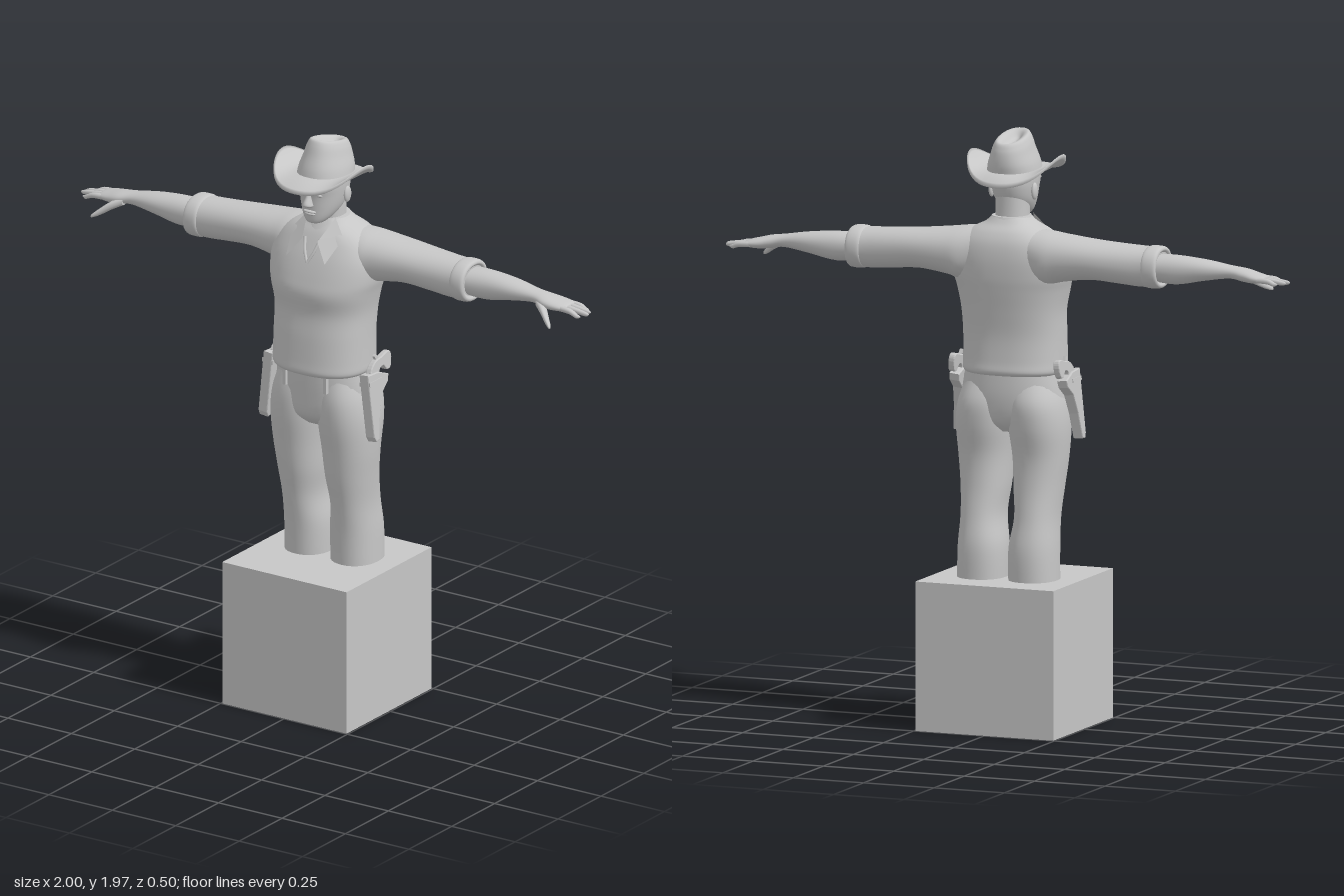
import * as THREE from 'three';

const grey = new THREE.MeshStandardMaterial({ color: 0xc6c6c6 });
grey.name = 'plain grey';
const greyThin = grey.clone();
greyThin.name = 'plain grey thin';
greyThin.side = THREE.DoubleSide;

// Skin a list of closed rings, with flat end caps
function skin(rings, caps = true) {
  const n = rings[0].length, pos = rings.flat(2), idx = [];
  for (let i = 0; i < rings.length - 1; i++)
    for (let j = 0; j < n; j++) {
      const k = (j + 1) % n, a = i * n + j, b = i * n + k, c = b + n, d = a + n;
      idx.push(a, b, c, a, c, d);
    }
  if (caps) [rings[0], rings[rings.length - 1]].forEach((ring, end) => {
    const base = pos.length / 3;
    pos.push(...ring.flat());
    pos.push(...[0, 1, 2].map(q => ring.reduce((s, p) => s + p[q], 0) / n));
    for (let j = 0; j < n; j++) {
      const a = base + j, b = base + (j + 1) % n;
      idx.push(...(end ? [a, b, base + n] : [b, a, base + n]));
    }
  });
  const g = new THREE.BufferGeometry();
  g.setAttribute('position', new THREE.Float32BufferAttribute(pos, 3));
  g.setIndex(idx);
  g.computeVertexNormals();
  return g;
}

// Smooth loft. Rows: [position on axis, uMin, uMax, vMin, vMax]; axis y uses u=z, v=x; axis x uses u=y, v=z
function loft(axis, rows, { sides = 32, steps = 5, power = 2.2, bend = null } = {}) {
  const rings = [], at = i => rows[Math.max(0, Math.min(rows.length - 1, i))];
  const spline = (a, b, c, d, t) => b + 0.5 * t * (c - a + t * (2 * a - 5 * b + 4 * c - d + t * (3 * (b - c) + d - a)));
  const round = v => Math.sign(v) * Math.abs(v) ** (2 / power);
  for (let s = 0; s <= (rows.length - 1) * steps; s++) {
    const i = Math.min(Math.floor(s / steps), rows.length - 2), t = s / steps - i;
    const [w, u0, u1, v0, v1] = rows[0].map((_, q) => spline(at(i - 1)[q], at(i)[q], at(i + 1)[q], at(i + 2)[q], t));
    rings.push(Array.from({ length: sides }, (_, j) => {
      const f = j / sides * Math.PI * 2;
      const u = (u0 + u1) / 2 + round(Math.cos(f)) * (u1 - u0) / 2;
      const v = (v0 + v1) / 2 + round(Math.sin(f)) * (v1 - v0) / 2;
      const p = axis === 'y' ? [v, w, u] : [w, u, v];
      return bend ? bend(p) : p;
    }));
  }
  return skin(rings);
}

// Rows symmetric in x: [y, zMin, zMax, halfWidth]
const body = (rows, options) => loft('y', rows.map(([y, a, b, h]) => [y, a, b, -h, h]), options);

function mirrored(geometry) {
  const g = geometry.clone().scale(-1, 1, 1);
  const old = g.index ? Array.from(g.index.array) : Array.from({ length: g.attributes.position.count }, (_, i) => i);
  for (let i = 0; i < old.length; i += 3) [old[i], old[i + 1]] = [old[i + 1], old[i]];
  g.setIndex(old);
  return g;
}

// Side-on plate: outline in (z, y), thickness along x
function sidePlate(points, width, curved) {
  const shape = new THREE.Shape();
  if (curved) shape.setFromPoints(new THREE.CatmullRomCurve3(points.map(p => new THREE.Vector3(p[0], p[1], 0)), true).getPoints(36).map(p => new THREE.Vector2(p.x, p.y)));
  else shape.setFromPoints(points.map(p => new THREE.Vector2(...p)));
  const g = new THREE.ExtrudeGeometry(shape, { depth: width - 0.008, bevelSize: 0.003, bevelThickness: 0.004, bevelSegments: 2 });
  return g.translate(0, 0, -(width - 0.008) / 2).rotateY(-Math.PI / 2);
}

const ball = (x, y, z, a, b, c) => new THREE.SphereGeometry(1, 20, 14).scale(a, b, c).translate(x, y, z);

export function createModel() {
  const model = new THREE.Group();
  const add = (name, geometry, material = grey) => {
    const mesh = new THREE.Mesh(geometry, material);
    mesh.name = name;
    model.add(mesh);
  };
  const pair = (name, geometry, material) => {
    add(name + 'Left', geometry, material);
    add(name + 'Right', mirrored(geometry), material);
  };

  // Pedestal
  add('pedestal', new THREE.BoxGeometry(0.49, 0.495, 0.495).translate(0, 0.2475, 0));

  // Trousers
  pair('trouserLeg', loft('y', [
    [0.49, -0.14, 0.05, 0.01, 0.172], [0.6, -0.14, 0.056, 0.01, 0.17], [0.7, -0.122, 0.07, 0.024, 0.166],
    [0.8, -0.108, 0.09, 0.014, 0.174], [0.9, -0.106, 0.105, 0.007, 0.185], [1.0, -0.125, 0.12, -0.004, 0.19],
    [1.08, -0.128, 0.122, -0.005, 0.18], [1.15, -0.1, 0.11, 0, 0.155]]));
  add('trouserHips', body([
    [0.98, -0.07, 0.08, 0.1], [1.02, -0.108, 0.115, 0.175], [1.1, -0.122, 0.125, 0.176], [1.2, -0.118, 0.13, 0.16]]));
  pair('beltLoop', new THREE.BoxGeometry(0.012, 0.07, 0.012).translate(0.08, 1.15, 0.125));

  // Shirt
  add('shirtBody', body([
    [1.172, -0.122, 0.147, 0.163], [1.185, -0.132, 0.156, 0.17], [1.22, -0.128, 0.153, 0.17], [1.3, -0.125, 0.146, 0.17], [1.38, -0.133, 0.137, 0.173],
    [1.45, -0.143, 0.145, 0.186], [1.5, -0.149, 0.134, 0.198], [1.56, -0.15, 0.113, 0.198], [1.61, -0.142, 0.09, 0.175],
    [1.645, -0.124, 0.072, 0.135], [1.67, -0.1, 0.055, 0.085], [1.69, -0.085, 0.045, 0.062]], { sides: 48, power: 2.4 }));
  pair('sleeve', loft('x', [
    [0.06, 1.52, 1.655, -0.12, 0.03], [0.14, 1.475, 1.652, -0.145, 0.055], [0.2, 1.488, 1.645, -0.146, 0.048],
    [0.3, 1.502, 1.635, -0.14, 0.035], [0.4, 1.496, 1.628, -0.13, 0.028], [0.48, 1.49, 1.624, -0.123, 0.026],
    [0.53, 1.495, 1.622, -0.122, 0.026]]));
  pair('sleeveCuff', loft('x', [
    [0.497, 1.5, 1.612, -0.112, 0.018], [0.505, 1.488, 1.626, -0.126, 0.031],
    [0.543, 1.488, 1.626, -0.126, 0.031], [0.552, 1.497, 1.616, -0.116, 0.021], [0.546, 1.508, 1.607, -0.108, 0.012]]));
  add('collarBand', body([[1.63, -0.122, 0.08, 0.085], [1.665, -0.1, 0.06, 0.075], [1.692, -0.085, 0.045, 0.063]]));
  const flap = new THREE.BufferGeometry().setFromPoints([
    [0.055, 1.695, 0.03], [0.1, 1.64, 0.052], [0.076, 1.566, 0.126], [0.03, 1.628, 0.1]].map(p => new THREE.Vector3(...p)));
  flap.setIndex([0, 3, 1, 1, 3, 2]);
  flap.computeVertexNormals();
  pair('collarFlap', flap, greyThin);
  pair('neckOpeningEdge', new THREE.TubeGeometry(new THREE.CatmullRomCurve3([
    new THREE.Vector3(0.03, 1.63, 0.082), new THREE.Vector3(0.018, 1.59, 0.102), new THREE.Vector3(0, 1.553, 0.117)]), 10, 0.005, 8));

  // Forearms and hands
  pair('forearm', loft('x', [
    [0.5, 1.515, 1.6, -0.108, 0.008], [0.6, 1.506, 1.602, -0.108, 0], [0.7, 1.524, 1.594, -0.1, -0.006],
    [0.79, 1.537, 1.58, -0.084, -0.016], [0.84, 1.53, 1.573, -0.09, -0.006], [0.88, 1.528, 1.564, -0.099, -0.01],
    [0.915, 1.532, 1.555, -0.097, -0.02], [0.922, 1.54, 1.548, -0.085, -0.03]]));
  [[-0.089, 0.972, 1.534], [-0.068, 0.994, 1.536], [-0.047, 1.0, 1.536], [-0.027, 0.98, 1.53]].forEach(([z, tip, y], i) =>
    pair('finger' + (i + 1), loft('x', [
      [0.9, 1.534, 1.553, z - 0.01, z + 0.01], [0.94, 1.532, 1.55, z - 0.01, z + 0.01],
      [tip - 0.012, y - 0.008, y + 0.007, z - 0.007, z + 0.007], [tip, y - 0.002, y + 0.002, z - 0.002, z + 0.002]], { sides: 12, steps: 3 })));
  pair('thumb', loft('x', [
    [0.815, 1.535, 1.56, -0.035, -0.01], [0.85, 1.518, 1.548, -0.022, 0.014], [0.88, 1.5, 1.524, 0.006, 0.032],
    [0.9, 1.492, 1.506, 0.026, 0.042], [0.905, 1.494, 1.499, 0.034, 0.04]], { sides: 14, steps: 3 }));

  // Neck and head
  add('neck', body([[1.6, -0.08, 0.06, 0.06], [1.68, -0.072, 0.046, 0.055], [1.76, -0.07, 0.055, 0.055]]));
  add('head', body([
    [1.683, 0.04, 0.085, 0.02], [1.69, 0.02, 0.096, 0.033], [1.71, -0.02, 0.1, 0.05], [1.74, -0.06, 0.102, 0.064],
    [1.78, -0.078, 0.105, 0.073], [1.82, -0.083, 0.113, 0.077], [1.87, -0.08, 0.1, 0.075], [1.9, -0.05, 0.07, 0.05]]));
  add('nose', body([
    [1.743, 0.09, 0.108, 0.008], [1.751, 0.09, 0.126, 0.016], [1.76, 0.09, 0.132, 0.014],
    [1.785, 0.09, 0.118, 0.008], [1.81, 0.09, 0.113, 0.008]], { sides: 16, steps: 3 }));
  add('upperLip', ball(0, 1.729, 0.1, 0.024, 0.005, 0.01));
  add('lowerLip', ball(0, 1.72, 0.097, 0.02, 0.006, 0.01));
  pair('eye', ball(0.032, 1.788, 0.091, 0.013, 0.007, 0.01));
  pair('brow', ball(0.034, 1.803, 0.093, 0.024, 0.006, 0.014));
  pair('ear', ball(0.076, 1.772, -0.008, 0.009, 0.028, 0.018));

  // Hat crown, sloping to the back with a creased top
  const slope = ([x, y, z]) => [x, y + (z - 0.06) * 0.22 * Math.min(1, Math.max(0, (y - 1.84) / 0.11)), z];
  add('hatCrown', body([
    [1.835, -0.1, 0.115, 0.086], [1.87, -0.104, 0.106, 0.08], [1.91, -0.104, 0.09, 0.068], [1.945, -0.1, 0.078, 0.058],
    [1.965, -0.09, 0.067, 0.046], [1.962, -0.075, 0.052, 0.03], [1.945, -0.058, 0.034, 0.014], [1.94, -0.04, 0.015, 0.004]], { bend: slope }));

  // Hat brim, curled up at both sides and dipped at front and back
  const brimRing = (v, lift) => Array.from({ length: 56 }, (_, j) => {
    const f = j / 56 * Math.PI * 2, c = Math.cos(f), s = Math.sin(f);
    const x = s * (0.07 + 0.09 * v), z = 0.013 + 0.007 * v + c * (0.095 + 0.075 * v);
    const edge = 0.05 * s ** 4 - (c > 0 ? 0.016 : 0.035) * c * c;
    return [x, 1.838 + lift + 0.06 * z * (1 - v) + edge * v ** 2.2 - 0.01 * v * (1 - v) * s * s, z];
  });
  const spread = [0, 0.2, 0.4, 0.6, 0.8, 0.93, 1];
  add('hatBrim', skin([...spread.map(v => brimRing(v, -0.005)), ...spread.slice().reverse().map(v => brimRing(v, 0.006))], false));

  // Holsters and revolver grips on the hips
  const place = g => g.rotateZ(0.11).translate(0.189, 1.18, 0);
  pair('holster', place(sidePlate([
    [0.062, 0], [0.058, -0.21], [0.05, -0.225], [0.036, -0.222], [0.02, -0.14], [-0.004, -0.075],
    [-0.042, -0.045], [-0.048, -0.025], [0.005, -0.004]], 0.036)));
  pair('holsterBand', place(new THREE.BoxGeometry(0.042, 0.014, 0.07).translate(0, -0.03, 0.028)));
  pair('revolverGrip', place(sidePlate([
    [0.035, -0.03], [0.033, 0.005], [0.005, 0.03], [-0.03, 0.037], [-0.075, 0.045], [-0.083, 0.03],
    [-0.072, -0.008], [-0.055, -0.008], [-0.04, 0.01], [-0.015, 0.005], [0, -0.03]], 0.022, true)));
  pair('revolverHammer', place(new THREE.BoxGeometry(0.01, 0.03, 0.012).rotateX(0.5).translate(0, 0.038, -0.012)));

  return model;
}
